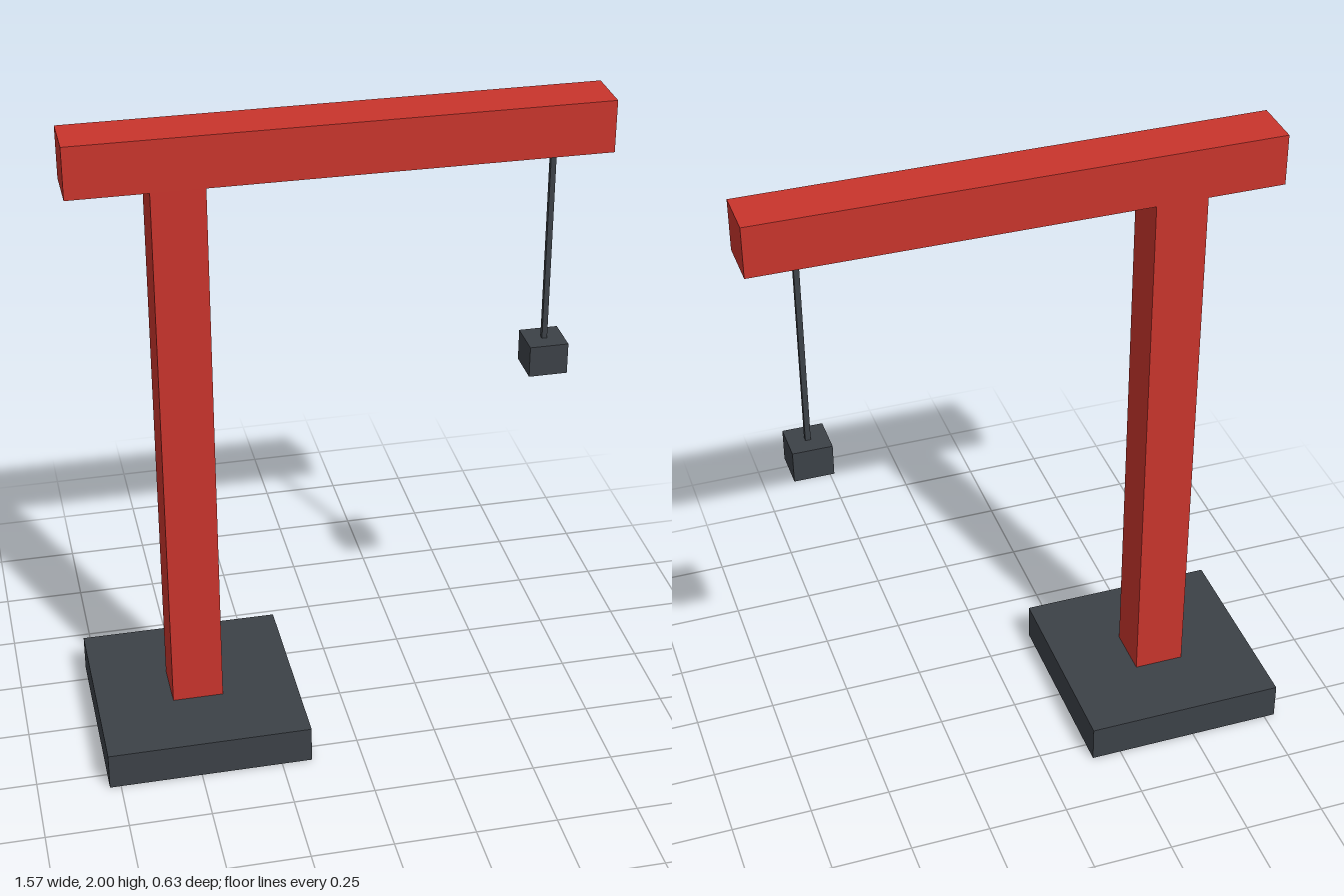
import * as THREE from 'three';

export function createModel() {
  const crane = new THREE.Group();
  crane.name = 'towerCrane';

  const red = new THREE.MeshStandardMaterial({ color: 0xc8342c });
  red.name = 'red paint';
  const grey = new THREE.MeshStandardMaterial({ color: 0x3c4147 });
  grey.name = 'dark grey';

  // Box given by its centre in x, its bottom and top in y, and its width and depth
  function block(name, material, x, bottom, top, width, depth = width) {
    const mesh = new THREE.Mesh(new THREE.BoxGeometry(width, top - bottom, depth), material);
    mesh.name = name;
    mesh.position.set(x, (bottom + top) / 2, 0);
    crane.add(mesh);
  }

  const beam = 0.157; // side of the square mast and boom
  const boomBottom = 2 - beam;

  // Foot and mast
  block('base', grey, -0.4705, 0, 0.118, 0.627);
  block('mast', red, -0.4705, 0.118, boomBottom, beam);

  // Boom across the top
  block('boom', red, 0, boomBottom, 2, 1.568, beam);

  // Hanging cable and its load
  block('cable', grey, 0.627, 1.227, boomBottom, 0.016);
  block('hookBlock', grey, 0.627, 1.129, 1.227, 0.118);

  return crane;
}
